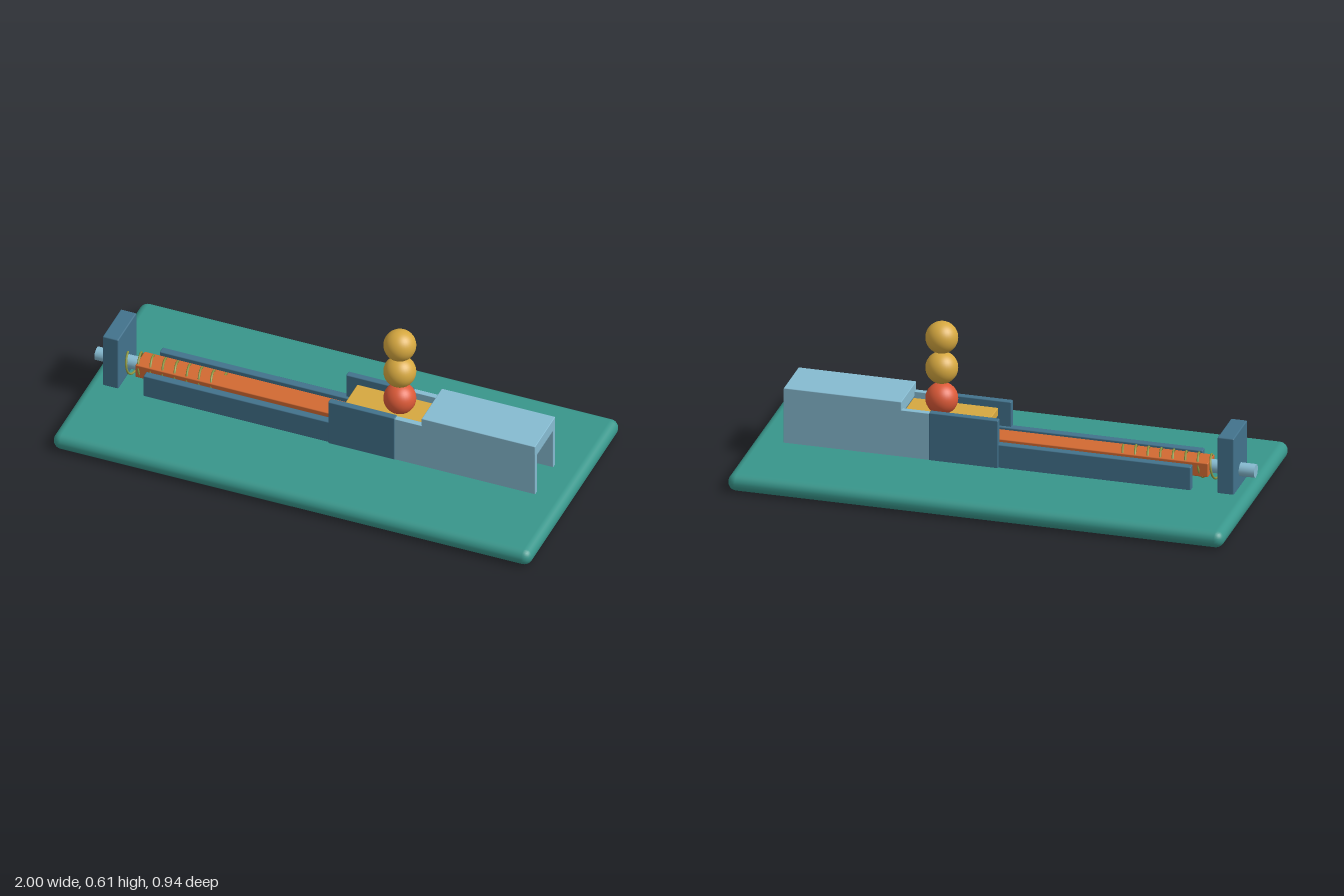
import * as THREE from 'three';
import { RoundedBoxGeometry } from 'three/addons/geometries/RoundedBoxGeometry.js';

const paint = (name, color) => {
  const m = new THREE.MeshStandardMaterial({ color });
  m.name = name;
  return m;
};

export function createModel() {
  const model = new THREE.Group();
  model.name = 'springLauncher';

  const teal = paint('teal', 0x38968b);
  const steel = paint('steel blue', 0x42728c);
  const sky = paint('light blue', 0x86bbd1);
  const orange = paint('orange', 0xd26a32);
  const red = paint('red', 0xdc5a38);
  const gold = paint('gold', 0xd6a840);
  const olive = paint('olive', 0x8a9440);

  const add = (name, geometry, material) => {
    const mesh = new THREE.Mesh(geometry, material);
    mesh.name = name;
    model.add(mesh);
    return mesh;
  };

  // Box given by its limits on each axis, with softened edges
  const block = (name, material, [x0, x1], [y0, y1], [z0, z1], radius = 0.004, segments = 2) => {
    const g = new RoundedBoxGeometry(x1 - x0, y1 - y0, z1 - z0, segments, radius);
    g.translate((x0 + x1) / 2, (y0 + y1) / 2, (z0 + z1) / 2);
    return add(name, g, material);
  };

  // Base plate and end post
  block('basePlate', teal, [-1, 1], [0, 0.07], [-0.47, 0.47], 0.0345, 3);
  block('endPost', steel, [-0.938, -0.872], [0.066, 0.306], [-0.094, 0.094], 0.005);

  // Paired guide rails, magazine walls and cover sides
  for (const side of [-1, 1]) {
    const z = (a, b) => (side > 0 ? [a, b] : [-b, -a]);
    const tag = side > 0 ? 'Front' : 'Back';
    block('guideRail' + tag, steel, [-0.765, 0.3], [0.066, 0.166], z(0.067, 0.099));
    block('magazineWall' + tag, steel, [0.01, 0.288], [0.066, 0.27], z(0.079, 0.106));
    block('coverSide' + tag, sky, [0.286, 0.875], [0.066, 0.266], z(0.081, 0.104), 0.002);
  }

  // Cover roof
  block('coverRoof', sky, [0.4, 0.875], [0.247, 0.301], [-0.104, 0.104], 0.003);

  // Loading tray with its cross bar under the cover
  block('loadingTray', gold, [0.06, 0.402], [0.21, 0.245], [-0.071, 0.071]);
  block('trayCrossBar', steel, [0.398, 0.42], [0.219, 0.232], [-0.081, 0.081], 0.002);

  // Plunger bar and pull rod
  block('plungerBar', orange, [-0.82, 0.2], [0.108, 0.167], [-0.047, 0.047]);
  const rod = new THREE.CylinderGeometry(0.027, 0.027, 0.22, 24);
  rod.rotateZ(Math.PI / 2);
  rod.translate(-0.89, 0.139, 0);
  add('pullRod', rod, sky);

  // Coil spring around the plunger
  const turns = 8, steps = 128, coil = [];
  for (let i = 0; i <= steps; i++) {
    const t = i / steps, a = t * turns * Math.PI * 2;
    coil.push(new THREE.Vector3(-0.87 + t * 0.405, 0.138 + 0.046 * Math.cos(a), 0.046 * Math.sin(a)));
  }
  add('spring', new THREE.TubeGeometry(new THREE.CatmullRomCurve3(coil), 320, 0.0045, 8), olive);

  // Stack of balls
  [[0.29, red], [0.42, gold], [0.548, gold]].forEach(([y, material], i) => {
    const ball = add('ball' + (i + 1), new THREE.SphereGeometry(0.064, 32, 24), material);
    ball.position.set(0.267, y, 0);
  });

  return model;
}
